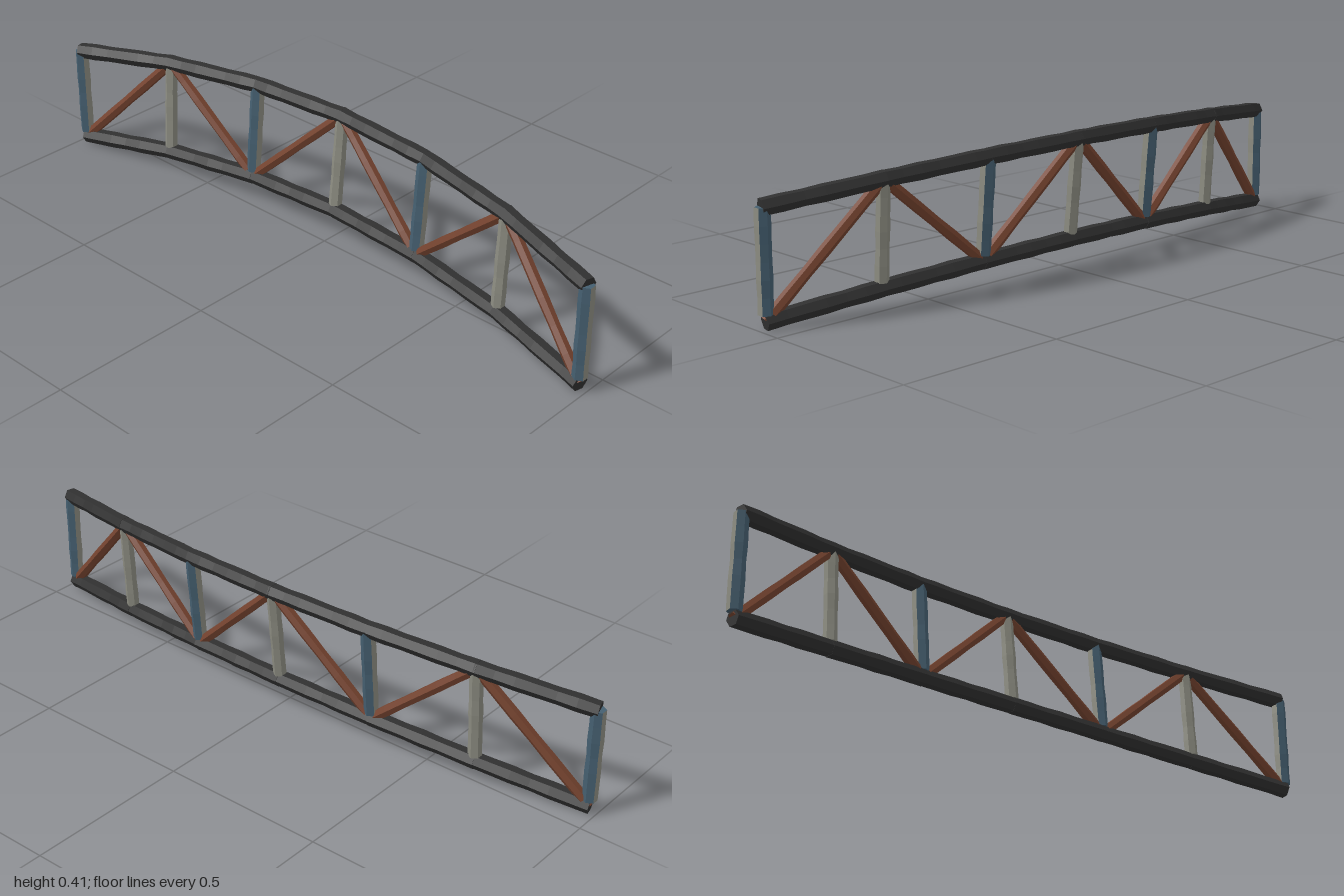
import * as THREE from 'three';

const mat = (name, color) => {
  const m = new THREE.MeshStandardMaterial({ color });
  m.name = name;
  return m;
};

// Six-sided, slightly uneven bar from a to b with one corner pointing to +z.
// A second material, if given, covers the facets that look sideways.
function bar(name, a, b, radius, material, sideMaterial) {
  const length = a.distanceTo(b), rings = 6;
  let geo = new THREE.CylinderGeometry(radius, radius, length, 6, rings);
  const p = geo.attributes.position;
  for (let i = 0; i < p.count; i++) {
    const ring = Math.round((p.getY(i) / length + 0.5) * rings);
    const s = 1 + 0.045 * Math.sin(ring * 2.4 + a.x * 9 + a.y * 5);
    p.setX(i, p.getX(i) * s);
    p.setZ(i, p.getZ(i) * s);
  }
  if (sideMaterial) {
    geo.clearGroups();
    const facet = 6 * rings;
    for (let i = 0; i < 6; i++) geo.addGroup(i * facet, facet, i % 3 === 1 ? 1 : 0);
    geo.addGroup(6 * facet, geo.index.count - 6 * facet, 0);
  }
  geo = geo.toNonIndexed();
  geo.computeVertexNormals();

  const y = b.clone().sub(a).normalize();
  const z = new THREE.Vector3(0, 0, 1).addScaledVector(y, -y.z).normalize();
  const x = new THREE.Vector3().crossVectors(y, z);
  const mesh = new THREE.Mesh(geo, sideMaterial ? [material, sideMaterial] : material);
  mesh.quaternion.setFromRotationMatrix(new THREE.Matrix4().makeBasis(x, y, z));
  mesh.position.copy(a).add(b).multiplyScalar(0.5);
  mesh.name = name;
  return mesh;
}

export function createModel() {
  const black = mat('charcoal chord', 0x303030);
  const brown = mat('rust brown brace', 0x75432f);
  const blue = mat('slate blue post', 0x455f70);
  const grey = mat('stone grey post', 0x8c8c81);

  const model = new THREE.Group();
  model.name = 'curvedTruss';

  // Seven joints on each chord, bowed upward and backward
  const lower = [], upper = [];
  for (let i = -3; i <= 3; i++) {
    const t = (i / 3) ** 2, x = i * 0.326;
    lower.push(new THREE.Vector3(x, 0.09 - 0.066 * t, -0.045 + 0.122 * t));
    upper.push(new THREE.Vector3(x, 0.39 - 0.063 * t, -0.076 + 0.153 * t));
  }

  // Chords, one bar per bay, overlapping a little at the joints
  for (const [name, joints] of [['lowerChord', lower], ['upperChord', upper]]) {
    const chord = new THREE.Group();
    chord.name = name;
    for (let i = 0; i < 6; i++) {
      const a = joints[i], b = joints[i + 1];
      const over = b.clone().sub(a).setLength(0.004);
      chord.add(bar(name + 'Segment', a.clone().sub(over), b.clone().add(over), 0.0245, black));
    }
    model.add(chord);
  }

  // Upright posts, alternating blue and grey
  for (let i = 0; i < 7; i++) {
    const foot = lower[i].clone().lerp(upper[i], 0.06);
    const isBlue = i % 2 === 0;
    model.add(isBlue
      ? bar('bluePost', foot, upper[i], 0.0215, blue, grey)
      : bar('greyPost', foot, upper[i], 0.0195, grey));
  }

  // Diagonal braces in a zigzag
  for (let i = 0; i < 6; i++) {
    const up = i % 2 === 0;
    const a = up ? lower[i] : upper[i], b = up ? upper[i + 1] : lower[i + 1];
    model.add(bar('diagonalBrace', a, b, 0.0165, brown));
  }
  return model;
}
